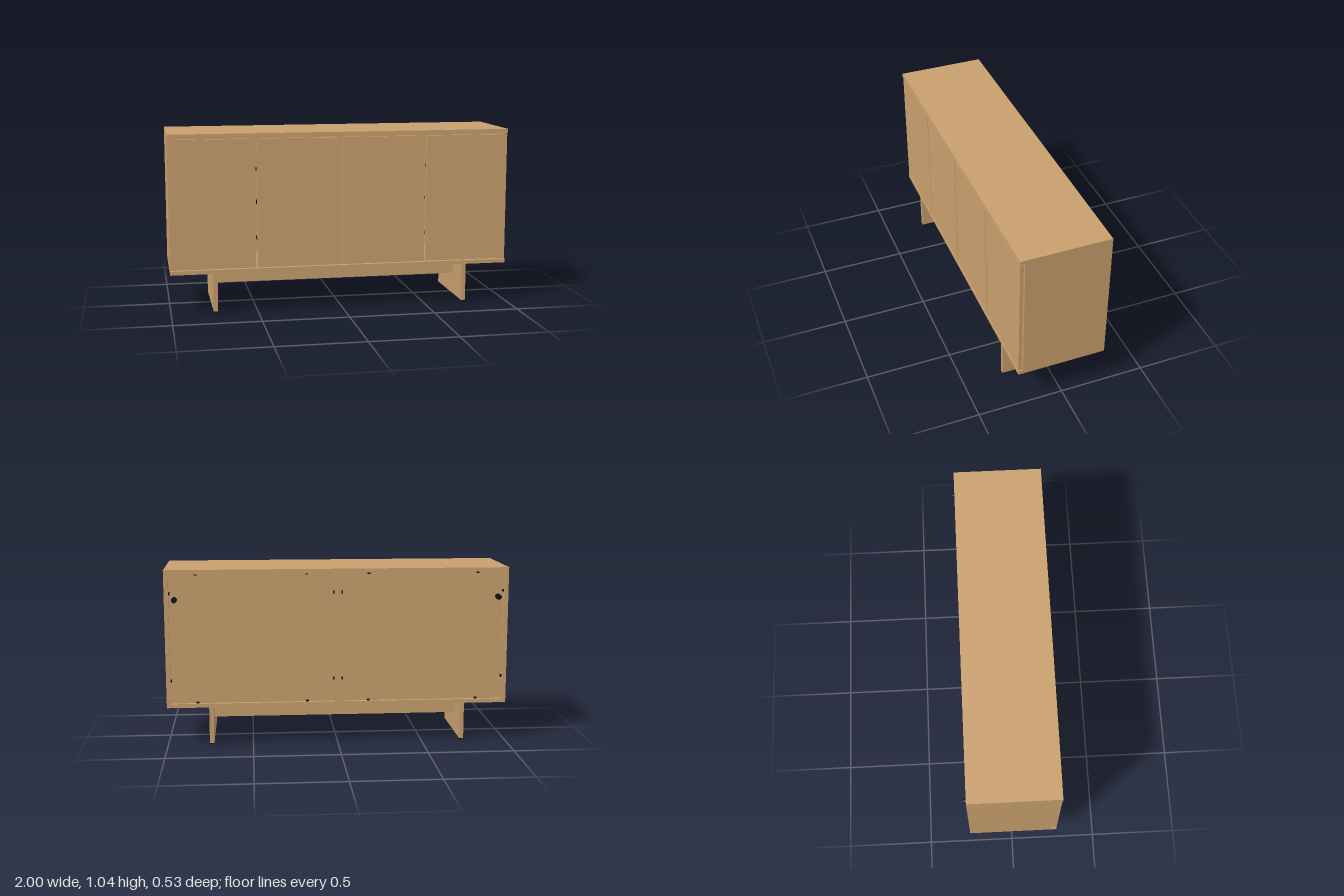
import * as THREE from 'three';

const wood = new THREE.MeshStandardMaterial({ color: 0xc89f6d });
wood.name = 'wood';
const black = new THREE.MeshStandardMaterial({ color: 0x101010 });
black.name = 'black plastic';

export function createModel() {
  const model = new THREE.Group();
  model.name = 'sideboard';

  // Box given by its minimum and maximum on each axis
  function box(name, [x0, x1], [y0, y1], [z0, z1], material = wood) {
    const mesh = new THREE.Mesh(new THREE.BoxGeometry(x1 - x0, y1 - y0, z1 - z0), material);
    mesh.position.set((x0 + x1) / 2, (y0 + y1) / 2, (z0 + z1) / 2);
    mesh.name = name;
    model.add(mesh);
  }

  // Disc centred on a point, its axis along y or z
  function disc(name, radius, length, x, y, z, axis = 'y') {
    const mesh = new THREE.Mesh(new THREE.CylinderGeometry(radius, radius, length, 24), black);
    if (axis === 'z') mesh.rotation.x = Math.PI / 2;
    mesh.position.set(x, y, z);
    mesh.name = name;
    model.add(mesh);
  }

  // Mirrored pair of spans
  const span = (side, a, b) => (side > 0 ? [a, b] : [-b, -a]);

  const back = -0.252, front = 0.267, low = 0.253, high = 1.012;

  // Carcass
  box('topPanel', [-1, 1], [high, 1.037], [back, front]);
  box('bottomPanel', [-1, 1], [0.23, low], [back, front]);
  box('centreDivider', [-0.02, 0.02], [low, high], [back, 0.238]);

  for (const side of [-1, 1]) {
    box('sidePanel', span(side, 0.975, 1), [low, high], [back, 0.24]);
    box('backPanel', span(side, 0.02, 0.975), [low, high], [-0.232, -0.222]);

    // Two doors per bay, with hinges behind their joint
    box('outerDoor', span(side, 0.504, 0.996), [0.258, 1.006], [0.245, 0.265]);
    box('innerDoor', span(side, 0.005, 0.496), [0.258, 1.006], [0.245, 0.265]);
    for (const y of [0.43, 0.64, 0.83]) {
      box('doorHinge', span(side, 0.494, 0.506), [y - 0.012, y + 0.012], [0.238, 0.245], black);
    }

    // Cable grommet
    disc('cableGrommet', 0.016, 0.035, side * 0.942, 0.864, -0.2495, 'z');

    // Clips holding the back panel
    for (const x of [0.18, 0.82]) {
      box('backClip', span(side, x - 0.008, x + 0.008), [low, low + 0.009], [-0.243, -0.232], black);
      box('backClip', span(side, x - 0.008, x + 0.008), [high - 0.009, high], [-0.243, -0.232], black);
    }
    for (const y of [0.39, 0.9]) {
      box('backClip', span(side, 0.02, 0.029), [y - 0.008, y + 0.008], [-0.243, -0.232], black);
      box('backClip', span(side, 0.966, 0.975), [y - 0.008, y + 0.008], [-0.243, -0.232], black);
    }

    // Slab legs on small glides
    box('leg', span(side, 0.73, 0.756), [0.008, 0.23], [-0.228, 0.265]);
    for (const z of [-0.21, 0.247]) disc('footGlide', 0.011, 0.008, side * 0.743, 0.004, z);

    // Screws at the ends of the front stretcher
    for (const y of [0.16, 0.205]) disc('stretcherScrew', 0.005, 0.002, side * 0.69, y, 0.054, 'z');
  }

  // Stretchers between the legs
  for (const z of [-0.094, 0.055]) {
    box('stretcher', [-0.73, 0.73], [0.135, 0.23], [z, z + 0.025]);
  }

  // Centre so the outer bounds balance on z
  return model;
}
